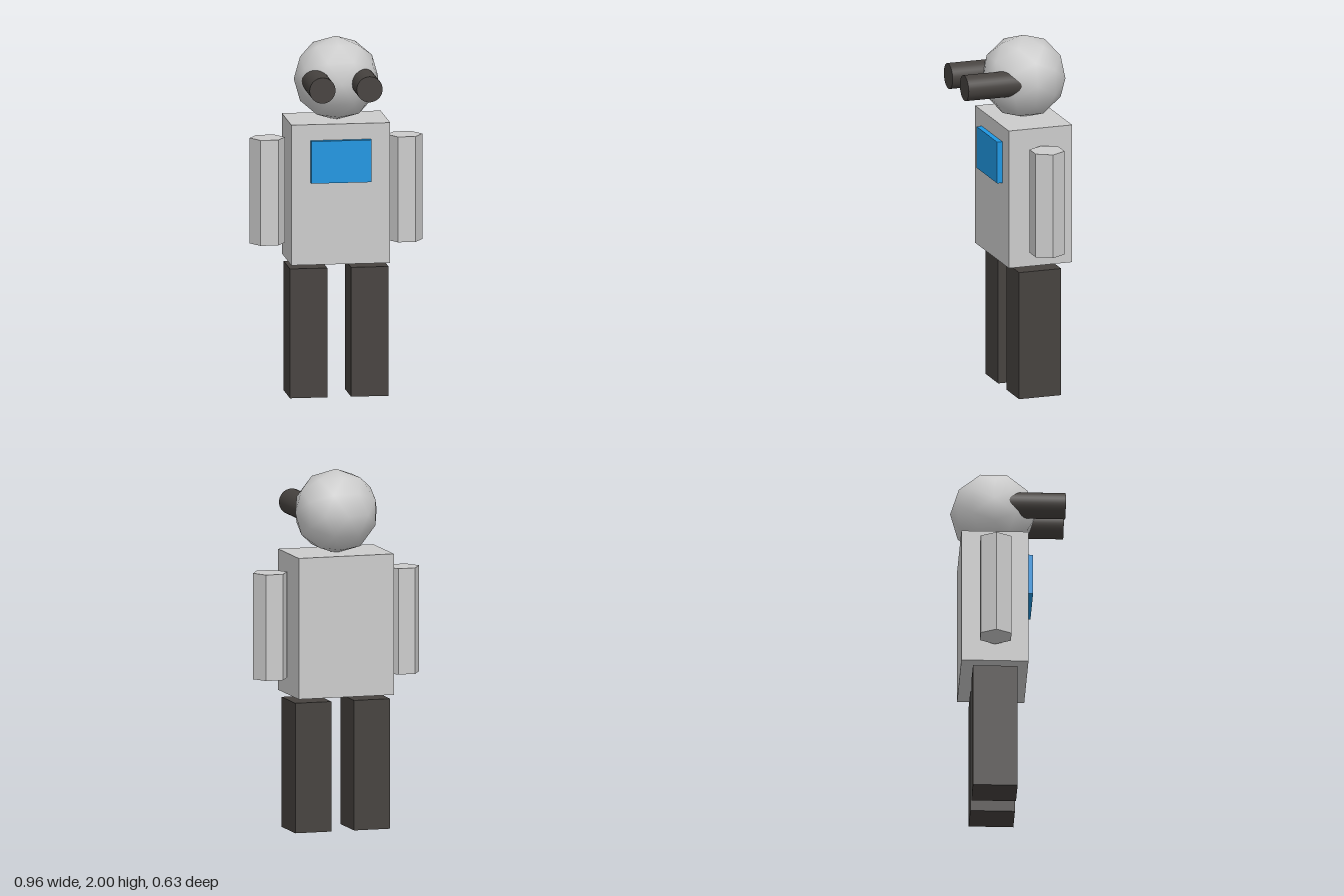
import * as THREE from 'three';

const grey = new THREE.MeshStandardMaterial({ color: 0xcccccc });
const facetedGrey = new THREE.MeshStandardMaterial({ color: 0xcccccc, flatShading: true });
const dark = new THREE.MeshStandardMaterial({ color: 0x46423f });
const blue = new THREE.MeshStandardMaterial({ color: 0x1f97e2 });

export function createModel() {
  const model = new THREE.Group();
  model.name = 'robot';

  const add = (name, geometry, material, x, y, z) => {
    const mesh = new THREE.Mesh(geometry, material);
    mesh.name = name;
    mesh.position.set(x, y, z);
    model.add(mesh);
  };

  // Torso and the chest screen standing proud of it
  add('torso', new THREE.BoxGeometry(0.55, 0.785, 0.37), grey, 0, 1.1475, -0.08);
  add('chestScreen', new THREE.BoxGeometry(0.336, 0.236, 0.06), blue, 0, 1.333, 0.105);

  // Smooth-shaded low-poly head
  const headGeometry = new THREE.IcosahedronGeometry(0.235, 1).rotateY(Math.PI / 2);
  add('head', headGeometry, grey, 0, 1.765, -0.08);

  // Shared shapes for the mirrored parts
  const legGeometry = new THREE.BoxGeometry(0.208, 0.724, 0.246);
  const armGeometry = new THREE.CylinderGeometry(0.098, 0.098, 0.59, 6).rotateY(Math.PI / 6);
  const eyeGeometry = new THREE.CylinderGeometry(0.072, 0.072, 0.36, 32).rotateX(Math.PI / 2);

  for (const [side, s] of [['left', 1], ['right', -1]]) {
    add(side + 'Leg', legGeometry, dark, s * 0.17, 0.362, -0.078);
    add(side + 'Arm', armGeometry, facetedGrey, s * 0.382, 1.145, -0.08);
    add(side + 'EyeTube', eyeGeometry, dark, s * 0.131, 1.767, 0.134);
  }

  return model;
}
